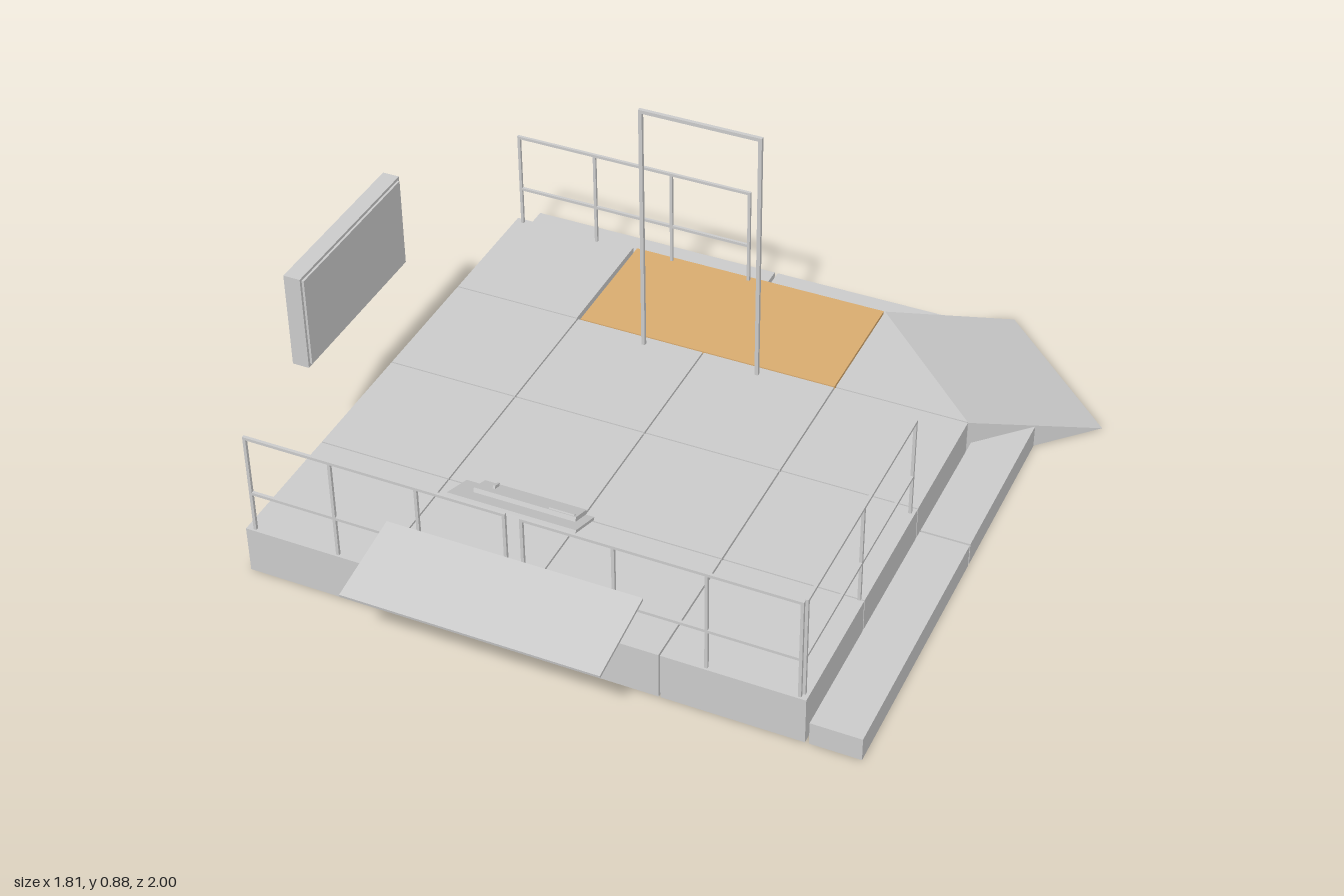
import * as THREE from 'three';

const grey = new THREE.MeshStandardMaterial({ color: 0xcccccc, flatShading: true });
const wood = new THREE.MeshStandardMaterial({ color: 0xd9ac70, flatShading: true });
const DECK = 0.134, STEP = 0.066;

function add(parent, name, geometry, material = grey) {
  const mesh = new THREE.Mesh(geometry, material);
  mesh.name = name;
  parent.add(mesh);
  return mesh;
}

// Box given by its minimum and maximum on each axis
function box(parent, name, [x0, x1], [y0, y1], [z0, z1], material) {
  const g = new THREE.BoxGeometry(x1 - x0, y1 - y0, z1 - z0);
  g.translate((x0 + x1) / 2, (y0 + y1) / 2, (z0 + z1) / 2);
  return add(parent, name, g, material);
}

// Upright prism over an outline of [x, z] corners
function prism(parent, name, outline, height) {
  const shape = new THREE.Shape(outline.map(([x, z]) => new THREE.Vector2(x, -z)));
  const g = new THREE.ExtrudeGeometry(shape, { depth: height, bevelEnabled: false });
  g.rotateX(-Math.PI / 2);
  return add(parent, name, g);
}

// Railing of evenly spaced posts with a top and a middle bar, starting at x, z
function railing(parent, name, x, z, length, spans, turn = 0) {
  const rail = new THREE.Group();
  rail.name = name;
  const t = 0.004;
  for (let i = 0; i <= spans; i++) {
    const px = (length * i) / spans;
    box(rail, 'railPost', [px - t, px + t], [DECK, 0.42], [-t, t]);
  }
  for (const y of [0.25, 0.422]) box(rail, 'railBar', [-t, length + t], [y - t, y + t], [-t, t]);
  rail.position.set(x, 0, z);
  rail.rotation.y = turn;
  parent.add(rail);
}

export function createModel() {
  const model = new THREE.Group();
  model.name = 'stagePlatform';

  // Deck tiles, with the back row holding the wooden panel and a cut corner
  const xs = [-0.873, -0.504, -0.13, 0.248, 0.619];
  const zs = [-0.716, -0.347, 0.03, 0.4, 0.771];
  const gap = 0.002;
  const deck = new THREE.Group();
  deck.name = 'deck';
  model.add(deck);
  for (let r = 1; r < 4; r++) {
    for (let c = 0; c < 4; c++) {
      box(deck, 'deckTile', [xs[c] + (c ? gap : 0), xs[c + 1] - (c < 3 ? gap : 0)], [0, DECK],
        [zs[r] + gap, zs[r + 1] - (r < 3 ? gap : 0)]);
    }
  }
  const back = [zs[0], zs[1] - gap];
  box(deck, 'backTile', [xs[0], -0.508], [0, DECK], back);
  box(deck, 'woodenTile', [-0.497, 0.246], [0, DECK], back, wood);
  prism(deck, 'cornerTile', [[0.25, -0.716], [0.25, -0.349], [0.617, -0.349]], DECK);

  // Ramp leading diagonally down from the cut corner
  const wedge = new THREE.Shape([[0, 0], [0.403, 0], [0, DECK]].map(p => new THREE.Vector2(...p)));
  const ramp = add(model, 'ramp', new THREE.ExtrudeGeometry(wedge, { depth: 0.523, bevelEnabled: false }));
  ramp.position.set(0.25, 0, -0.716);
  ramp.rotation.y = Math.PI / 4;

  // Low steps along the side and back, mitred against the ramp
  box(model, 'sideStep', [0.629, 0.761], [0, STEP], [0.034, 0.771]);
  prism(model, 'sideStepMitred', [[0.629, 0.028], [0.761, 0.028], [0.761, -0.485], [0.629, -0.353]], STEP);
  box(model, 'backStep', [-0.873, -0.132], [0, STEP], [-0.853, -0.722]);
  prism(model, 'backStepMitred', [[-0.123, -0.722], [0.254, -0.722], [0.385, -0.853], [-0.123, -0.853]], STEP);

  // Railings
  railing(model, 'frontRailingRight', -0.85, 0.762, 0.7, 3);
  railing(model, 'frontRailingLeft', -0.105, 0.762, 0.705, 3);
  railing(model, 'backRailing', -0.85, -0.702, 0.7, 3);
  railing(model, 'sideRailing', 0.606, 0.75, 0.7, 2, Math.PI / 2);

  // Tall door frame
  const frame = new THREE.Group();
  frame.name = 'doorFrame';
  model.add(frame);
  for (const x of [-0.292, 0.038]) box(frame, 'framePost', [x - 0.005, x + 0.005], [DECK, 0.874], [-0.321, -0.311]);
  box(frame, 'frameTop', [-0.297, 0.043], [0.866, 0.876], [-0.321, -0.311]);

  // Hanging screen at the right side
  box(model, 'screenBody', [-0.907, -0.861], [0.405, 0.675], [-0.06, 0.44]);
  box(model, 'screenFace', [-0.861, -0.855], [0.413, 0.667], [-0.052, 0.432]);

  // Sloping table in front of the railing
  const table = box(model, 'table', [-0.468, 0.206], [-0.004, 0.004], [-0.119, 0.119]);
  table.position.set(0, 0.269, 0.882);
  table.rotation.x = 0.18;

  // Tilted control desk: shelf, console and its small controls
  const desk = new THREE.Group();
  desk.name = 'controlDesk';
  model.add(desk);
  box(desk, 'deskShelf', [-0.297, 0.038], [-0.004, 0.004], [-0.051, 0.051]);
  box(desk, 'console', [-0.25, 0.016], [0.004, 0.016], [-0.052, 0.007]);
  box(desk, 'slider', [-0.055, 0.01], [0.016, 0.02], [-0.002, 0.004]);
  box(desk, 'lever', [-0.213, -0.207], [0.016, 0.024], [-0.042, -0.018]);
  desk.position.set(-0, 0.42, 0.718);
  desk.rotation.x = -0.35;

  return model;
}
